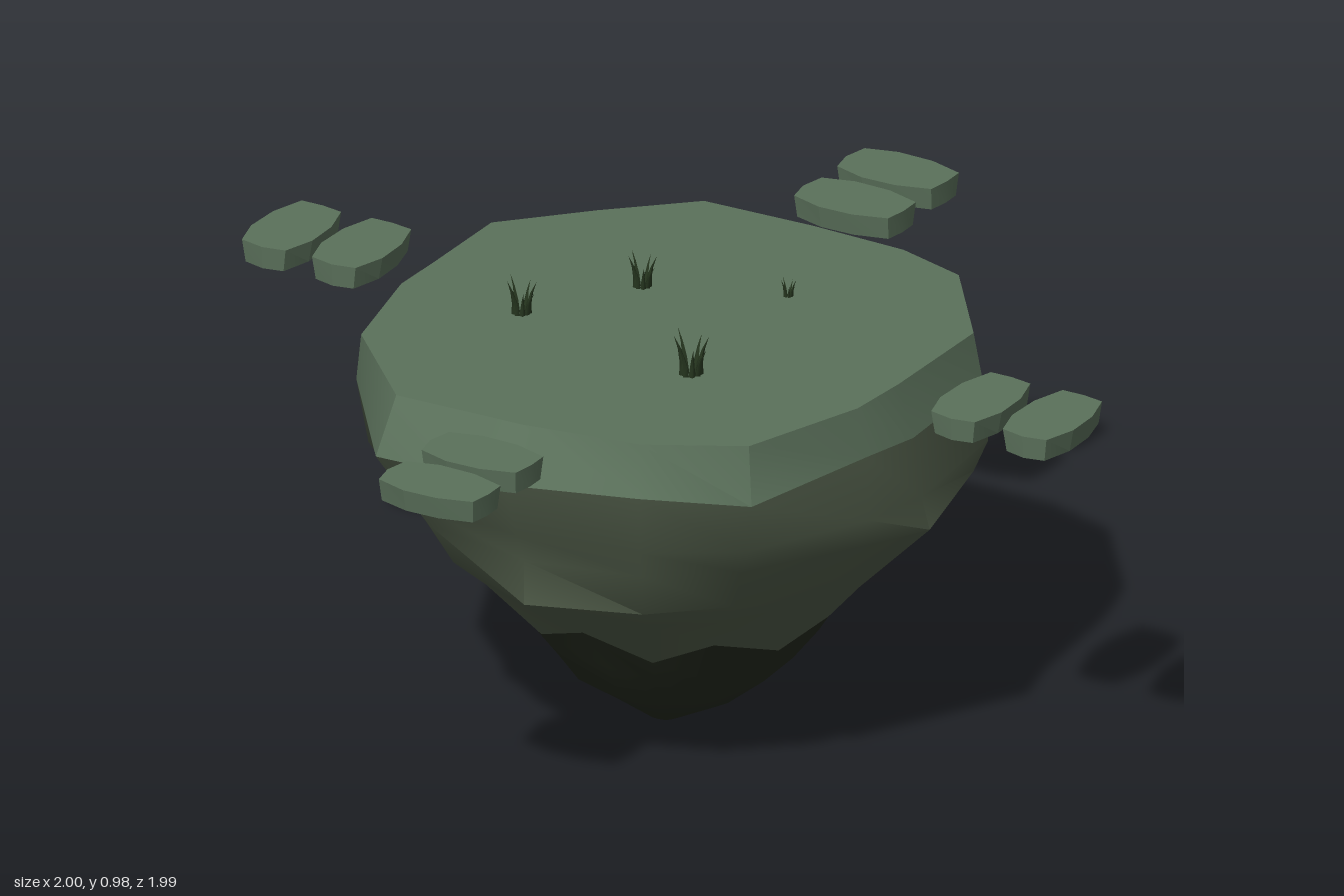
import * as THREE from 'three';
import { toCreasedNormals } from 'three/addons/utils/BufferGeometryUtils.js';

const mat = (color) => new THREE.MeshStandardMaterial({ color, roughness: 1 });
const grassMat = mat(0x5b715b);
const earthMat = mat(0x505c49);
const rockMat = mat(0x252b1f);
const bladeMat = mat(0x26361f);

// Skins a stack of closed rings (top to bottom), optionally closing the ends.
function loft(rings, capTop, capBottom, crease) {
  const n = rings[0].length;
  const pos = rings.flat().flatMap((p) => [p.x, p.y, p.z]);
  const index = [];
  for (let r = 0; r < rings.length - 1; r++) {
    for (let i = 0; i < n; i++) {
      const a = r * n + i, b = r * n + (i + 1) % n;
      index.push(a, b, a + n, b, b + n, a + n);
    }
  }
  const cap = (ring, first, up) => {
    const c = ring.reduce((s, p) => s.add(p), new THREE.Vector3()).divideScalar(n);
    const k = pos.length / 3;
    pos.push(c.x, c.y, c.z);
    for (let i = 0; i < n; i++) {
      const a = first + i, b = first + (i + 1) % n;
      if (up) index.push(k, b, a);
      else index.push(k, a, b);
    }
  };
  if (capTop) cap(rings[0], 0, true);
  if (capBottom) cap(rings.at(-1), (rings.length - 1) * n, false);
  const g = new THREE.BufferGeometry();
  g.setAttribute('position', new THREE.Float32BufferAttribute(pos, 3));
  g.setIndex(index);
  return toCreasedNormals(g, crease);
}

function add(parent, name, geometry, material) {
  const m = new THREE.Mesh(geometry, material);
  m.name = name;
  parent.add(m);
  return m;
}

// Corner directions in degrees, from +x turning toward +z.
const ANGLES = [0, 15, 43, 64, 90, 117, 145, 170, 183, 204, 225, 246, 270, 291, 306, 332];
// Island cross-sections: height, then one radius per corner, or four radii (+x, +z, -x, -z).
const SECTIONS = [
  [0.885, [.565, .575, .63, .60, .58, .66, .635, .59, .58, .635, .60, .635, .59, .625, .66, .64]],
  [0.77, [.60, .60, .65, .64, .65, .71, .645, .655, .69, .68, .62, .64, .61, .63, .67, .66]],
  [0.64, [.62, .61, .62, .61, .60, .63, .62, .63, .64, .65, .62, .62, .645, .63, .66, .67]],
  [0.57, [.64, .58, .57, .57, .57, .58, .57, .55, .55, .59, .58, .55, .50, .56, .60, .64]],
  [0.47, [.54, .51, .52, .54, .57, .52, .50, .53, .55, .52, .49, .48, .50, .51, .53, .53]],
  [0.40, [.47, .44, .44, .44, .46, .44, .42, .42, .44, .42, .43, .43, .44, .44, .45, .46]],
  [0.28, [.37, .31, .36, .37]],
  [0.20, [.30, .25, .265, .33]],
  [0.13, [.225, .20, .215, .225]],
  [0.06, [.15, .11, .125, .155]],
  [0.0, [.03, .03, .04, .04]],
];

function islandRings() {
  return SECTIONS.map(([y, radii], s) => ANGLES.map((deg, i) => {
    const a = THREE.MathUtils.degToRad(deg);
    const f = (i / ANGLES.length) * radii.length, k = Math.floor(f);
    const r = THREE.MathUtils.lerp(radii[k], radii[(k + 1) % radii.length], f - k);
    // the rock line zigzags, the rim line wavers, the base is slightly rough
    let dy = 0, dr = 0;
    if (s === 1) dy = 0.015 * Math.sin(i * 2.3);
    if (s === 6) { dy = i % 2 ? -0.025 : 0.035; dr = dy * 0.7; }
    if (s === 7 || s === 8) dr = 0.012 * Math.sin(i * 2.6 + s);
    return new THREE.Vector3(Math.cos(a) * (r + dr), y + dy, Math.sin(a) * (r + dr));
  }));
}

// Stepping stone: an irregular slab, slightly narrower underneath.
const STONE = [[.123, 0], [.115, .05], [.04, .072], [-.04, .074], [-.112, .052],
  [-.122, 0], [-.11, -.055], [-.04, -.075], [.045, -.073], [.122, -.05]];

function stoneGeometry() {
  const ring = (y, kx, kz) => STONE.map(([x, z]) => new THREE.Vector3(x * kx, y, z * kz));
  return loft([ring(0.885, 1, 1), ring(0.835, 0.97, 0.87)], true, true, 0.3);
}

// Grass blade: a thin cone whose tip bends outward along +x.
function bladeGeometry(height, bend) {
  const g = new THREE.ConeGeometry(height * 0.11, height, 4, 3);
  g.translate(0, height / 2, 0);
  const p = g.attributes.position;
  for (let i = 0; i < p.count; i++) {
    const t = p.getY(i) / height;
    p.setX(i, p.getX(i) + bend * t * t);
  }
  g.computeVertexNormals();
  return g;
}

function tuft(x, z, height) {
  const group = new THREE.Group();
  group.name = 'grassTuft';
  for (let i = 0; i < 7; i++) {
    const h = height * (0.65 + 0.35 * ((i * 5) % 7) / 6);
    const blade = add(group, 'grassBlade', bladeGeometry(h, height * 0.22), bladeMat);
    const a = i * 2.4;
    blade.position.set(Math.cos(a) * height * 0.16, 0, Math.sin(a) * height * 0.16);
    blade.rotation.y = -a;
  }
  group.position.set(x, 0.884, z);
  return group;
}

export function createModel() {
  const model = new THREE.Group();
  model.name = 'floatingIsland';

  // Island: grassy top, earth flanks and dark rocky base
  const rings = islandRings();
  add(model, 'grassTop', loft(rings.slice(0, 2), true, false, 0.6), grassMat);
  add(model, 'earthBody', loft(rings.slice(1, 7), false, false, 0.9), earthMat);
  add(model, 'rockBase', loft(rings.slice(6), false, true, 0.9), rockMat);

  // Two stepping stones on each side
  const stone = stoneGeometry();
  const sides = [
    ['front', 0, [0, 0.745], [0, 0.917]],
    ['back', 0, [0, -0.752], [0, -0.925]],
    ['left', Math.PI / 2, [0.748, -0.028], [0.922, -0.028]],
    ['right', Math.PI / 2, [-0.755, -0.028], [-0.925, -0.028]],
  ];
  for (const [side, turn, ...spots] of sides) {
    for (const [x, z] of spots) {
      const m = add(model, side + 'SteppingStone', stone, grassMat);
      m.position.set(x, 0, z);
      m.rotation.y = turn;
    }
  }

  // Grass tufts
  for (const [x, z, h] of [[-0.145, -0.145, 0.078], [-0.29, 0.1, 0.082], [0.17, 0.18, 0.098], [0.14, -0.26, 0.042]]) {
    model.add(tuft(x, z, h));
  }
  return model;
}
